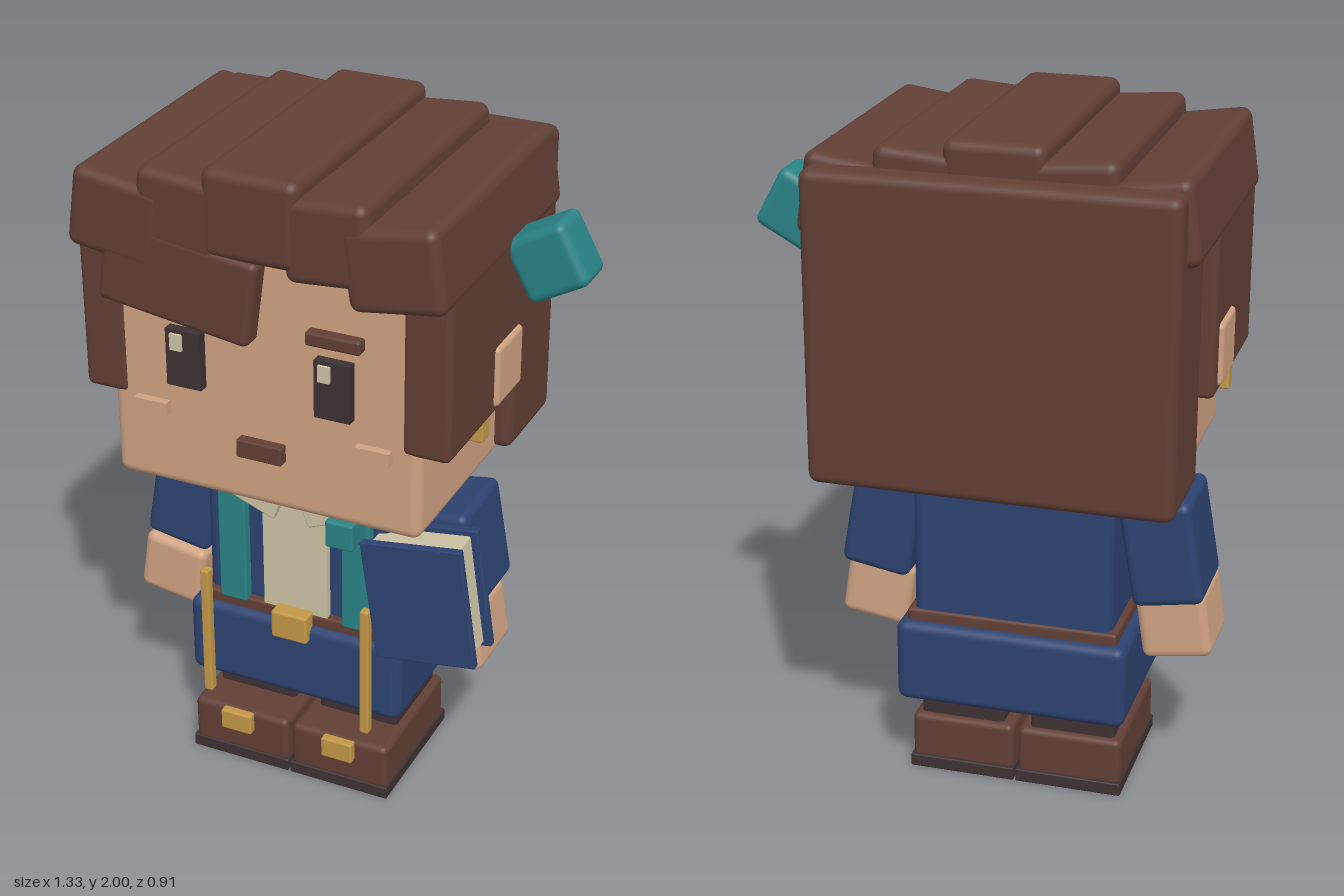
import * as THREE from 'three';
import { RoundedBoxGeometry } from 'three/addons/geometries/RoundedBoxGeometry.js';

const CX = -0.105; // centre line of the figure

export function createModel() {
  const model = new THREE.Group();
  model.name = 'figure';

  const material = (name, color) => {
    const m = new THREE.MeshStandardMaterial({ color });
    m.name = name;
    return m;
  };
  const brown = material('brown', 0x613f35);
  const skin = material('skin', 0xcfa281);
  const dark = material('dark', 0x3d3133);
  const blue = material('blue', 0x2c4270);
  const teal = material('teal', 0x2a8386);
  const cream = material('cream', 0xcdc3a5);
  const gold = material('gold', 0xc29747);

  // Box from its centre and size, rounded when radius > 0, turned about z
  const box = (name, mat, [x, y, z], [w, h, d], radius = 0, turn = 0) => {
    const geo = radius
      ? new RoundedBoxGeometry(w, h, d, 3, radius)
      : new THREE.BoxGeometry(w, h, d);
    const mesh = new THREE.Mesh(geo, mat);
    mesh.name = name;
    mesh.position.set(x, y, z);
    mesh.rotation.z = turn;
    model.add(mesh);
    return mesh;
  };
  // Two boxes mirrored about the centre line; dx is the offset from it
  const pair = (name, mat, [dx, y, z], size, radius = 0, turn = 0) => {
    box(name + 'Left', mat, [CX + dx, y, z], size, radius, turn);
    box(name + 'Right', mat, [CX - dx, y, z], size, radius, -turn);
  };

  // Head and ears
  box('head', skin, [CX, 1.43, 0.006], [0.93, 0.86, 0.78], 0.03);
  pair('ear', skin, [0.523, 1.375, 0.005], [0.08, 0.18, 0.18], 0.015);
  pair('earring', gold, [0.513, 1.243, 0.135], [0.068, 0.075, 0.05], 0.006);
  box('neck', skin, [CX, 0.98, 0], [0.26, 0.06, 0.24]);

  // Face
  pair('eye', dark, [0.222, 1.42, 0.408], [0.105, 0.17, 0.036]);
  for (const x of [-0.345, 0.097]) {
    box('eyeHighlight', cream, [x, 1.471, 0.42], [0.035, 0.048, 0.03]);
  }
  pair('eyebrow', brown, [0.225, 1.563, 0.41], [0.16, 0.04, 0.04], 0.008);
  box('mouth', brown, [CX, 1.183, 0.408], [0.137, 0.055, 0.036], 0.005);
  pair('cheek', skin, [0.335, 1.246, 0.405], [0.1, 0.042, 0.03]);

  // Hair
  box('backHair', brown, [CX, 1.465, -0.298], [1.03, 0.89, 0.315], 0.03);
  pair('sideHair', brown, [0.48, 1.51, 0.135], [0.14, 0.5, 0.53], 0.02);
  box('topHair', brown, [CX, 1.875, 0.035], [0.28, 0.25, 0.84], 0.03);
  pair('innerHair', brown, [0.215, 1.845, 0.035], [0.25, 0.235, 0.836], 0.03, 0.08);
  pair('outerHair', brown, [0.402, 1.807, 0.035], [0.275, 0.235, 0.84], 0.03, 0.145);
  box('fringe', brown, [-0.327, 1.66, 0.415], [0.455, 0.25, 0.078], 0.02, -0.14);
  box('hairOrnament', teal, [0.543, 1.693, -0.063], [0.19, 0.19, 0.145], 0.025, 0.5);

  // Jacket, shirt and scarf
  box('torso', blue, [CX, 0.745, 0], [0.59, 0.485, 0.4], 0.03);
  box('shirt', cream, [-0.103, 0.755, 0.2], [0.205, 0.45, 0.04]);
  pair('scarf', teal, [0.198, 0.76, 0.205], [0.088, 0.44, 0.05], 0.006);
  pair('collar', cream, [0.115, 0.93, 0.222], [0.165, 0.095, 0.04], 0.006, 0.37);
  box('scarfKnot', teal, [0.088, 0.912, 0.285], [0.085, 0.085, 0.09], 0.008);

  // Belt, skirt and hanging cords
  box('belt', brown, [CX, 0.515, 0.008], [0.625, 0.07, 0.43], 0.01);
  box('beltBuckle', gold, [CX, 0.514, 0.24], [0.115, 0.09, 0.055], 0.008);
  box('skirt', blue, [CX, 0.387, 0.005], [0.685, 0.255, 0.48], 0.03);
  pair('cord', gold, [0.257, 0.448, 0.285], [0.028, 0.425, 0.03], 0.006);

  // Arms and hands
  pair('sleeve', blue, [0.415, 0.772, 0.003], [0.208, 0.31, 0.265], 0.025, 0.17);
  pair('hand', skin, [0.448, 0.53, 0.038], [0.205, 0.195, 0.235], 0.025, 0.15);

  // Legs and boots
  pair('leg', dark, [0.168, 0.23, 0.008], [0.255, 0.14, 0.285], 0.015);
  pair('boot', brown, [0.163, 0.1, 0.06], [0.312, 0.15, 0.43], 0.02);
  pair('sole', dark, [0.163, 0.02, 0.058], [0.32, 0.04, 0.445], 0.005);
  pair('bootBuckle', gold, [0.167, 0.143, 0.285], [0.1, 0.066, 0.03], 0.006);

  // Book carried under the left arm
  for (const z of [0.148, 0.273]) {
    box('bookCover', blue, [0.31, 0.717, z], [0.307, 0.375, 0.026], 0.004, 0.145);
  }
  box('bookPages', cream, [0.308, 0.717, 0.21], [0.27, 0.345, 0.1], 0.006, 0.145);

  return model;
}
